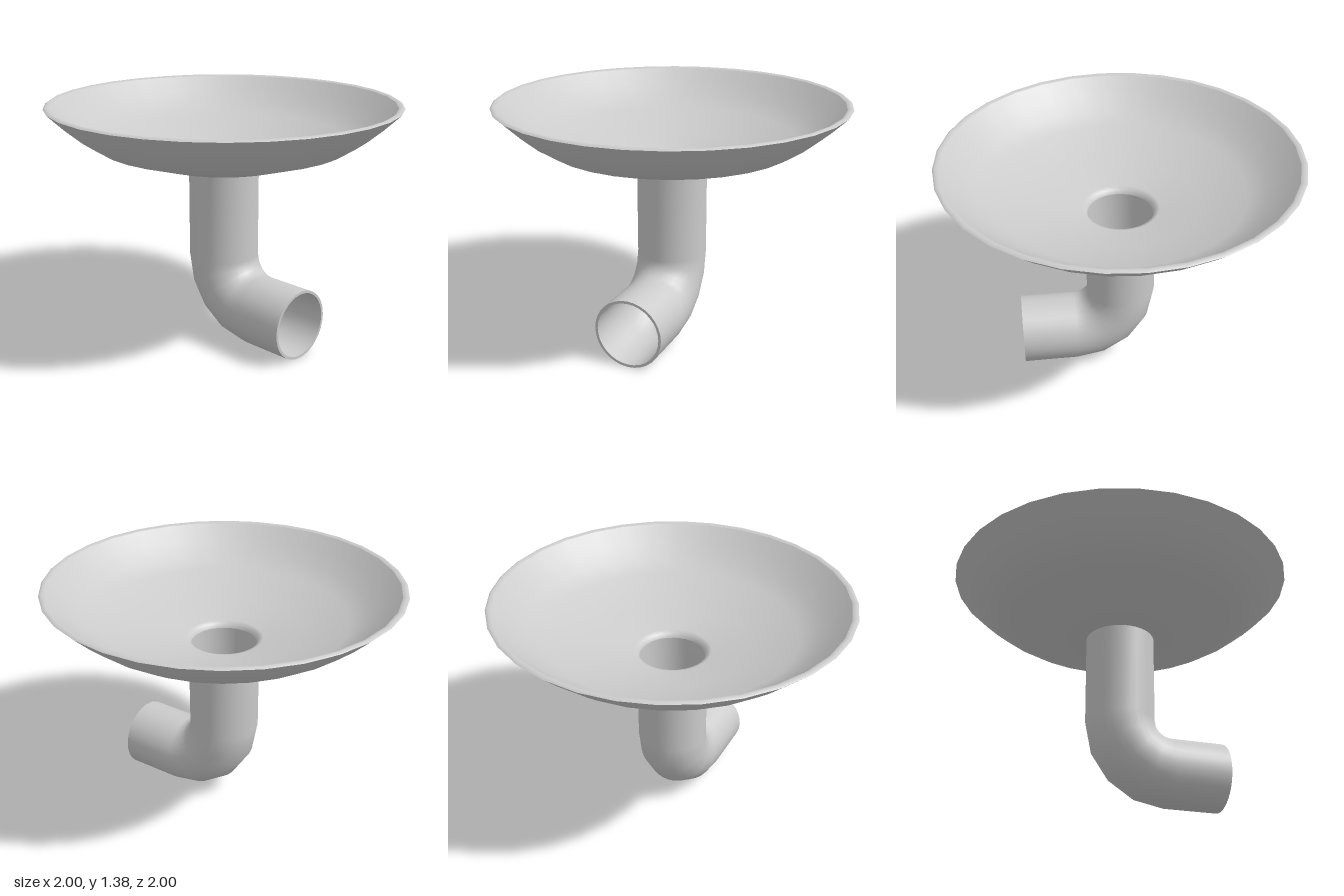
import * as THREE from 'three';

const SIDES = 32;
const material = new THREE.MeshStandardMaterial({ color: 0xcccccc });

function addMesh(parent, name, geometry) {
  const mesh = new THREE.Mesh(geometry, material);
  mesh.name = name;
  parent.add(mesh);
}

// Lathe from [radius, height] pairs
function lathe(points) {
  return new THREE.LatheGeometry(points.map(([r, y]) => new THREE.Vector2(r, y)), SIDES);
}

// Centre line of the pipe: straight drop, 90 degree elbow, straight outlet.
// Each station is [y, z, angle], the angle turning from down to forward.
function pipeStations(topY) {
  const bend = 0.28, cy = 0.48, cz = 0.28;
  const stations = [[topY, 0, 0]];
  for (let i = 0; i <= 4; i++) {
    const a = (i / 4) * Math.PI / 2;
    stations.push([cy - bend * Math.sin(a), cz - bend * Math.cos(a), a]);
  }
  stations.push([0.2, 0.595, Math.PI / 2]);
  return stations;
}

// Surface joining rings of [y, z, angle, radius]
function sweep(rings, inward) {
  const positions = [], indices = [], row = SIDES;
  for (const [y, z, a, r] of rings) {
    for (let j = 0; j < SIDES; j++) {
      const t = (j / SIDES) * Math.PI * 2;
      const side = Math.cos(t) * r;
      positions.push(Math.sin(t) * r, y + side * Math.sin(a), z + side * Math.cos(a));
    }
  }
  for (let i = 0; i < rings.length - 1; i++) {
    for (let j = 0; j < SIDES; j++) {
      const a = i * row + j, b = i * row + (j + 1) % SIDES;
      const c = a + row, d = b + row;
      if (inward) indices.push(a, b, c, b, d, c);
      else indices.push(a, c, b, b, c, d);
    }
  }
  const geometry = new THREE.BufferGeometry();
  geometry.setAttribute('position', new THREE.Float32BufferAttribute(positions, 3));
  geometry.setIndex(indices);
  geometry.computeVertexNormals();
  return geometry;
}

export function createModel() {
  const model = new THREE.Group();
  model.name = 'basinWithDrain';

  // Shallow bowl, open at the drain
  const bowl = new THREE.Group();
  bowl.name = 'bowl';
  model.add(bowl);
  addMesh(bowl, 'bowlOutside', lathe([
    [0.2, 1.01], [0.44, 1.055], [0.71, 1.14], [0.82, 1.21], [0.91, 1.285], [1, 1.37],
  ]));
  addMesh(bowl, 'bowlRim', lathe([[1, 1.37], [0.985, 1.38], [0.965, 1.372]]));
  addMesh(bowl, 'bowlInside', lathe([
    [0.965, 1.372], [0.89, 1.302], [0.805, 1.235], [0.7, 1.17], [0.435, 1.087],
    [0.22, 1.045], [0.195, 1.035], [0.185, 1.01],
  ]));

  // Hollow drain pipe
  const pipe = new THREE.Group();
  pipe.name = 'drainPipe';
  model.add(pipe);
  const outer = 0.2, inner = 0.185;
  const stations = pipeStations(1.01);
  addMesh(pipe, 'pipeOutside', sweep(stations.map((s) => [...s, outer]), false));
  addMesh(pipe, 'pipeInside', sweep(stations.map((s) => [...s, inner]), true));
  const mouth = stations[stations.length - 1];
  addMesh(pipe, 'pipeMouth', sweep([[...mouth, outer], [...mouth, inner]], false));

  return model;
}
